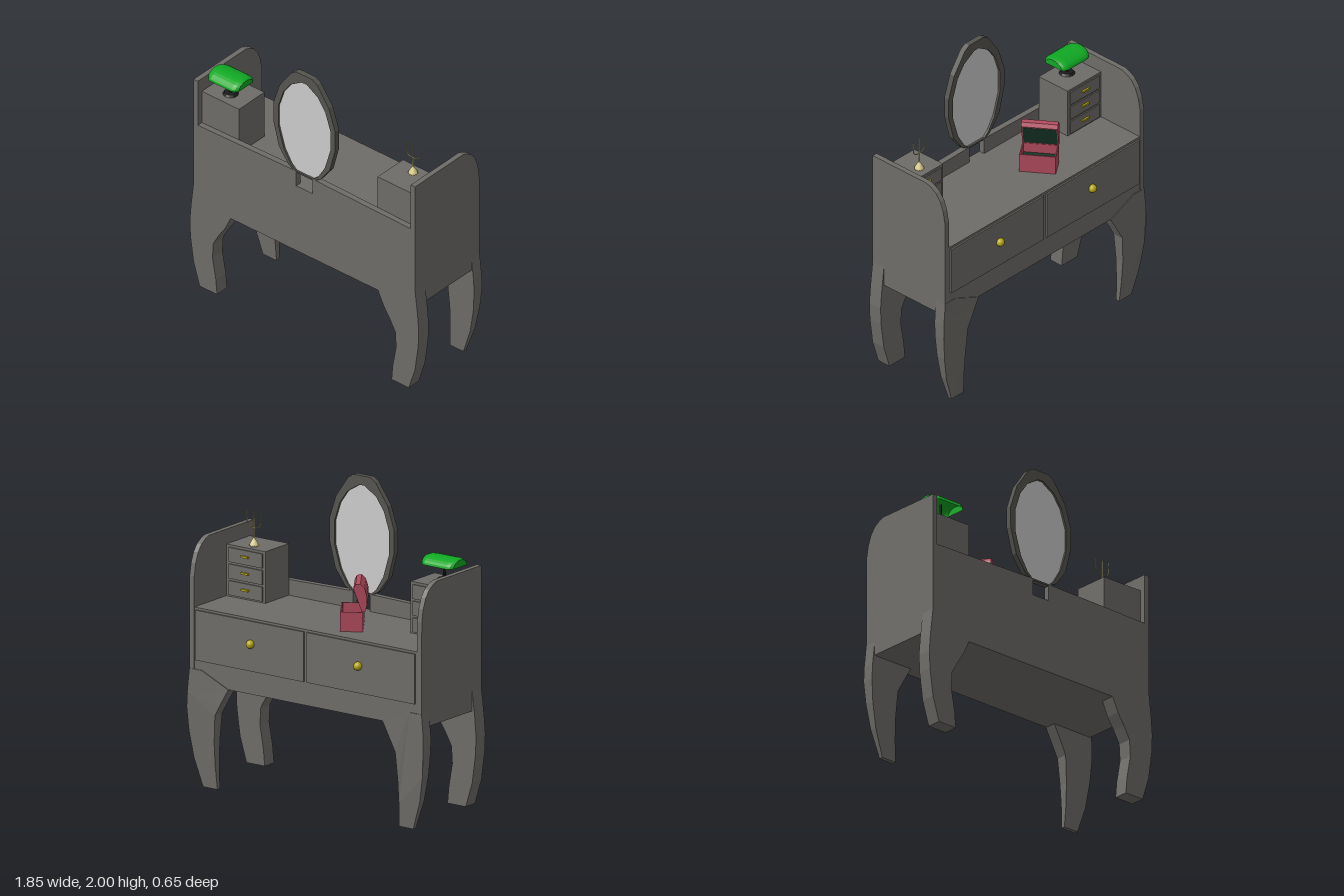
import * as THREE from 'three';

const WOOD = 0x6e6c68, PINK = 0xb04a5c, DARK = 0x16382a, BRASS = 0xb8a812, CREAM = 0xd8cc8a, GREEN = 0x10a824, BLACK = 0x1c1c1c;

function add(parent, name, geometry, color = WOOD, flat = true) {
  const mat = new THREE.MeshStandardMaterial({ color, flatShading: flat, side: THREE.DoubleSide });
  const mesh = new THREE.Mesh(geometry, mat);
  mesh.name = name;
  parent.add(mesh);
  return mesh;
}

// Box given by its limits on each axis
function box(x0, x1, y0, y1, z0, z1) {
  return new THREE.BoxGeometry(x1 - x0, y1 - y0, z1 - z0)
    .translate((x0 + x1) / 2, (y0 + y1) / 2, (z0 + z1) / 2);
}

const shapeOf = (pts, s = 1) => new THREE.Shape(pts.map(([x, y]) => new THREE.Vector2(s * x, y)));

function slab(shape, z0, z1) {
  return new THREE.ExtrudeGeometry(shape, { depth: z1 - z0, bevelEnabled: false, curveSegments: 12 }).translate(0, 0, z0);
}

// Linear interpolation in a short table of [y, value], y descending
function lookup(table, y) {
  if (y >= table[0][0]) return table[0][1];
  for (let i = 1; i < table.length; i++) {
    const [ya, a] = table[i - 1], [yb, b] = table[i];
    if (y >= yb) return b + (a - b) * (y - yb) / (ya - yb);
  }
  return table[table.length - 1][1];
}

function addDesk(g) {
  add(g, 'deskBody', box(-0.87, 0.87, 0.66, 1.145, -0.283, 0.325));

  const panel = shapeOf([[0.325, 0.66], [0.325, 1.57], [-0.13, 1.57], [-0.17, 1.555], [-0.21, 1.53],
    [-0.245, 1.485], [-0.27, 1.42], [-0.285, 1.34], [-0.287, 0.66]]);
  const straightLeg = [[0.595, 0.66], [0.64, 0.565], [0.69, 0.49], [0.735, 0.41], [0.742, 0.3], [0.715, 0.15],
    [0.705, 0.04], [0.845, 0.04], [0.895, 0.2], [0.92, 0.38], [0.925, 0.5], [0.915, 0.62], [0.895, 0.79], [0.8, 0.79]];
  const taperLeg = [[0.595, 0.66], [0.66, 0.545], [0.695, 0.48], [0.708, 0.3], [0.708, 0.15], [0.70, 0],
    [0.81, 0], [0.87, 0.18], [0.9, 0.35], [0.912, 0.5], [0.91, 0.6], [0.895, 0.75], [0.8, 0.75]];
  const outerZ = [[0.66, -0.288], [0.5, -0.293], [0.3, -0.283], [0, -0.26]];
  const innerZ = [[0.66, -0.21], [0.3, -0.224], [0, -0.234]];

  for (const s of [-1, 1]) {
    // Side panel with a rounded top corner
    const side = new THREE.ExtrudeGeometry(panel, { depth: 0.035, bevelEnabled: false });
    side.rotateY(-Math.PI / 2).translate(s > 0 ? 0.895 : -0.86, 0, 0);
    add(g, 'sidePanel', side);

    add(g, 'mirrorSideLeg', slab(shapeOf(straightLeg, s), 0.23, 0.325));

    // Drawer-side leg gets thinner toward the foot
    const leg = slab(shapeOf(taperLeg, s), 0, 1);
    const p = leg.attributes.position;
    for (let i = 0; i < p.count; i++) p.setZ(i, lookup(p.getZ(i) > 0.5 ? innerZ : outerZ, p.getY(i)));
    leg.computeVertexNormals();
    add(g, 'drawerSideLeg', leg);

    // Wide drawer and its knob
    add(g, 'drawerFront', box(s > 0 ? 0.012 : -0.845, s > 0 ? 0.845 : -0.012, 0.81, 1.13, -0.294, -0.27));
    add(g, 'drawerKnob', new THREE.SphereGeometry(0.027, 16, 12).translate(s * 0.415, 0.985, -0.303), BRASS, false);

    // Rail beside the mirror, rising slightly to the middle
    add(g, 'rail', slab(shapeOf([[0.065, 1.14], [0.87, 1.14], [0.87, 1.24], [0.065, 1.255]], s), 0.285, 0.325));
    addCabinet(g, s);
  }
}

// Small three-drawer cabinet on the desk top
function addCabinet(g, s) {
  const cabinet = new THREE.Group();
  cabinet.name = 'smallCabinet';
  cabinet.position.x = s * 0.71;
  g.add(cabinet);
  add(cabinet, 'cabinetBody', box(-0.15, 0.15, 1.14, 1.475, 0.045, 0.287));
  for (let i = 0; i < 3; i++) {
    const y = 1.155 + i * 0.106;
    add(cabinet, 'cabinetDrawer', box(-0.13, 0.13, y, y + 0.092, 0.037, 0.06));
    add(cabinet, 'cabinetHandle', box(-0.028, 0.028, y + 0.045, y + 0.057, 0.025, 0.04), BRASS);
  }
}

function addMirror(g) {
  const mirrored = half => [...half, ...half.slice().reverse().map(([x, y]) => [-x, y])];
  const outer = mirrored([[0.065, 2.0], [0.105, 1.975], [0.2, 1.84], [0.25, 1.69], [0.25, 1.55], [0.205, 1.38], [0.13, 1.28], [0.07, 1.245]]);
  const inner = mirrored([[0.02, 1.94], [0.11, 1.885], [0.17, 1.8], [0.21, 1.68], [0.21, 1.53], [0.165, 1.38], [0.11, 1.29], [0.07, 1.256]]);
  const frame = shapeOf(outer);
  frame.holes.push(shapeOf(inner));
  add(g, 'mirrorFrame', slab(frame, 0.288, 0.325), 0x55544f);
  add(g, 'mirrorGlass', slab(shapeOf(inner), 0.302, 0.312), 0xcccccc);
}

function addLamp(g) {
  const lamp = new THREE.Group();
  lamp.name = 'deskLamp';
  lamp.position.set(-0.71, 1.475, 0.19);
  g.add(lamp);
  add(lamp, 'lampBase', new THREE.CylinderGeometry(0.04, 0.05, 0.014, 12).translate(0, 0.007, 0), BLACK);
  add(lamp, 'lampStem', new THREE.CylinderGeometry(0.008, 0.01, 0.12, 8).translate(0, 0.065, 0), BLACK);

  // Arched shade, hollow below, narrowing at both ends
  const pos = [], idx = [], n = 12;
  const stations = [[-0.123, 0], [-0.123, 0.72], [-0.108, 0.9], [-0.085, 1], [0.085, 1], [0.108, 0.9], [0.123, 0.72], [0.123, 0]];
  stations.forEach(([x, k], i) => {
    for (let j = 0; j <= n; j++) {
      const a = Math.PI * j / n;
      pos.push(x, 0.103 + 0.053 * Math.sin(a) * (k ? 0.5 + 0.5 * k : 0), 0.095 * k * Math.cos(a));
      if (i && j) {
        const c = i * (n + 1) + j, b = c - n - 1;
        idx.push(b - 1, c - 1, b, b, c - 1, c);
      }
    }
  });
  const shade = new THREE.BufferGeometry();
  shade.setAttribute('position', new THREE.Float32BufferAttribute(pos, 3));
  shade.setIndex(idx);
  shade.computeVertexNormals();
  add(lamp, 'lampShade', shade, GREEN);
}

function addCandlestick(g) {
  const stick = new THREE.Group();
  stick.name = 'candlestick';
  stick.position.set(0.7, 1.475, 0.115);
  g.add(stick);
  const foot = [[0, 0], [0.031, 0], [0.029, 0.01], [0.012, 0.04], [0.005, 0.052], [0.004, 0.215], [0, 0.22]];
  add(stick, 'candlestickFoot', new THREE.LatheGeometry(foot.map(p => new THREE.Vector2(...p)), 12), CREAM, false);
  for (const s of [-1, 1]) {
    const path = new THREE.CatmullRomCurve3([[0, 0.115], [0.03, 0.118], [0.049, 0.135], [0.053, 0.165], [0.053, 0.212]]
      .map(([x, y]) => new THREE.Vector3(s * x, y, 0)));
    add(stick, 'candlestickArm', new THREE.TubeGeometry(path, 16, 0.0035, 6), CREAM, false);
  }
}

function addJewelryBox(g) {
  const chest = new THREE.Group();
  chest.name = 'jewelryBox';
  chest.position.set(-0.19, 1.145, -0.062);
  chest.rotation.y = Math.PI + 0.607;
  g.add(chest);

  // Walls around a dark lining
  const rect = (a, b) => shapeOf([[-a, -b], [a, -b], [a, b], [-a, b]]);
  const walls = rect(0.07, 0.114);
  walls.holes.push(rect(0.062, 0.106));
  add(chest, 'boxWalls', slab(walls, 0, 0.125).rotateX(-Math.PI / 2), PINK);
  add(chest, 'boxLining', box(-0.062, 0.062, 0, 0.06, -0.106, 0.106), DARK);

  // Rounded lid standing open
  const lid = shapeOf([[0.065, 0.125], [0.012, 0.275], [0.025, 0.3], [0.055, 0.305], [0.08, 0.28], [0.095, 0.23], [0.096, 0.17], [0.085, 0.13]]);
  add(chest, 'boxLid', slab(lid, -0.114, 0.114), PINK);
  const lining = shapeOf([[0.061, 0.132], [0.013, 0.268], [0.018, 0.27], [0.066, 0.134]]);
  add(chest, 'lidLining', slab(lining, -0.106, 0.106), DARK);
}

export function createModel() {
  const g = new THREE.Group();
  g.name = 'dressingTable';
  addDesk(g);
  addMirror(g);
  addLamp(g);
  addCandlestick(g);
  addJewelryBox(g);
  return g;
}
